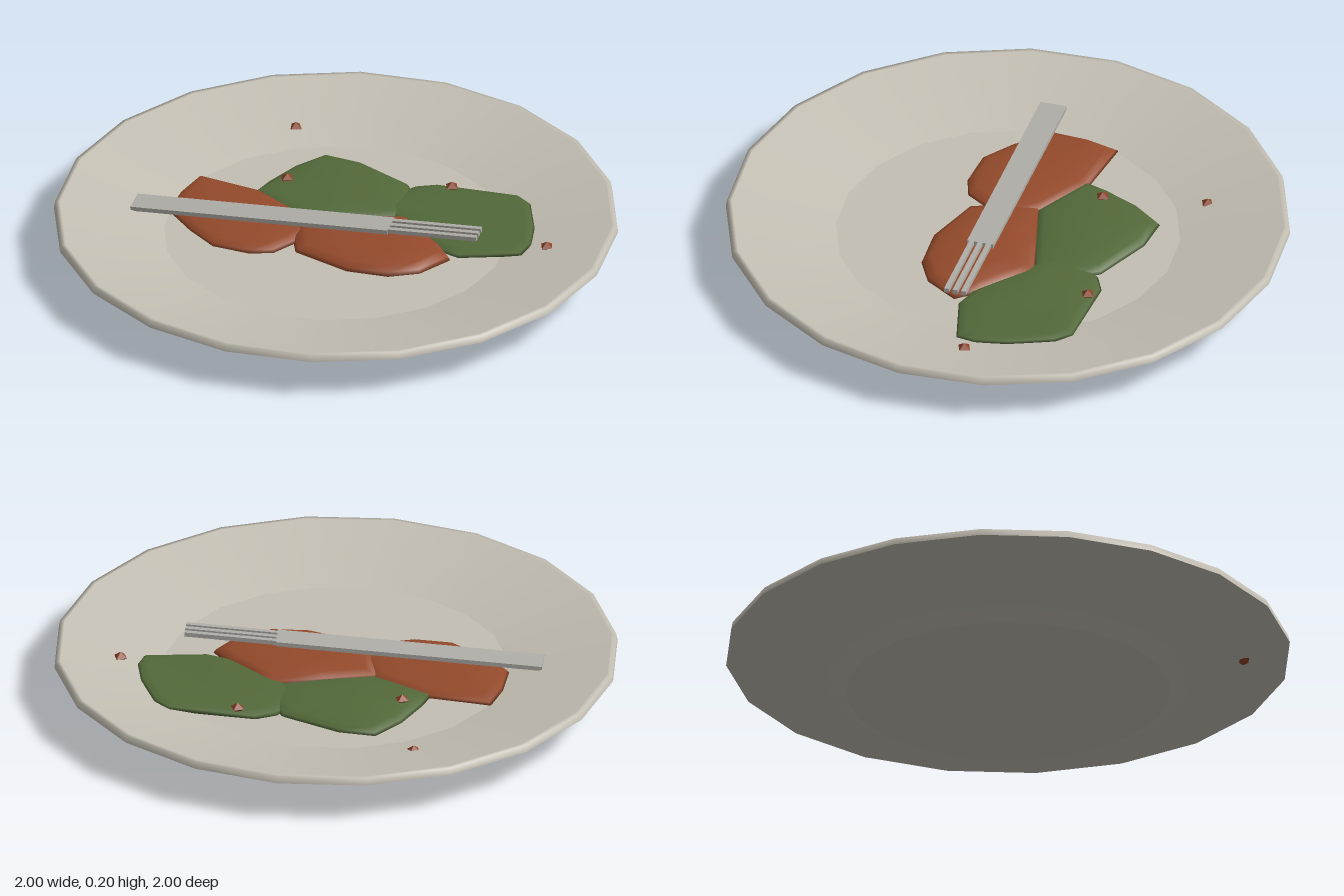
import * as THREE from 'three';

const mat = (name, color) => {
  const m = new THREE.MeshStandardMaterial({ color });
  m.name = name;
  return m;
};

export function createModel() {
  const root = new THREE.Group();
  const ceramic = mat('ceramic', 0xc4bfb3);
  const metal = mat('metal', 0xb0aea8);
  const green = mat('leaf green', 0x53693a);
  const rust = mat('sauce rust', 0x944a2b);
  const crumbMat = mat('crumb brown', 0x8c4226);

  const add = (parent, name, geo, material) => {
    const mesh = new THREE.Mesh(geo, material);
    mesh.name = name;
    parent.add(mesh);
    return mesh;
  };

  // Plate: separate lathed bands keep a crisp edge between them
  const plate = new THREE.Group();
  plate.name = 'plate';
  root.add(plate);
  const band = (name, pts) => add(plate, name,
    new THREE.LatheGeometry(pts.map(p => new THREE.Vector2(...p)), 20), ceramic);
  band('plateBase', [[0, 0], [0.575, 0]]);
  band('plateUnderside', [[0.575, 0], [0.615, 0.02], [0.66, 0.05], [1, 0.145]]);
  band('plateRim', [[1, 0.145], [0.995, 0.17], [0.98, 0.17]]);
  band('plateWall', [[0.98, 0.17], [0.61, 0.09]]);
  band('plateFloor', [[0.61, 0.09], [0, 0.085]]);

  // Height of the plate's upper surface at a point
  const plateY = (x, z) => 0.088 + Math.max(0, Math.hypot(x, z) - 0.61) * 0.216;

  // Food leftover: low dome over an outline of [x, z] points
  function dollop(outline, height) {
    let area = 0, cx = 0, cz = 0;
    const n = outline.length;
    outline.forEach(([x, z], i) => {
      const [x2, z2] = outline[(i + 1) % n];
      area += x * z2 - x2 * z;
      cx += x / n;
      cz += z / n;
    });
    const pts = area > 0 ? outline.slice().reverse() : outline;
    const rings = [[0, -0.01], [0.92, -0.01], [1, 0.003], [0.97, height * 0.4],
      [0.85, height * 0.75], [0.5, height * 0.95], [0, height]];
    const pos = [], index = [];
    for (const [s, y] of rings)
      for (const [px, pz] of pts) {
        const x = cx + (px - cx) * s, z = cz + (pz - cz) * s;
        pos.push(x, plateY(x, z) + y, z);
      }
    for (let r = 0; r < rings.length - 1; r++)
      for (let i = 0; i < n; i++) {
        const a = r * n + i, b = r * n + (i + 1) % n;
        if (r > 0) index.push(a, b, b + n);
        if (r < rings.length - 2) index.push(a, b + n, a + n);
        else index.push();
      }
    const geo = new THREE.BufferGeometry();
    geo.setAttribute('position', new THREE.Float32BufferAttribute(pos, 3));
    geo.setIndex(index);
    geo.computeVertexNormals();
    return geo;
  }

  add(root, 'greenLeft', dollop([[-0.41, -0.1], [-0.41, -0.25], [-0.38, -0.38], [-0.25, -0.42],
    [-0.02, -0.415], [0.06, -0.36], [0.12, -0.23], [-0.03, -0.1], [-0.16, 0.0], [-0.4, -0.02]], 0.032), green);
  add(root, 'greenRight', dollop([[0, -0.42], [0.05, -0.48], [0.34, -0.595], [0.41, -0.575], [0.53, -0.46],
    [0.6, -0.36], [0.615, -0.29], [0.44, -0.15], [0.34, -0.14], [0.14, -0.2], [-0.04, -0.22]], 0.03), green);
  add(root, 'sauceLeft', dollop([[-0.62, 0.02], [-0.39, -0.04], [-0.16, -0.01], [-0.06, 0.08], [-0.06, 0.15],
    [-0.075, 0.25], [-0.14, 0.31], [-0.27, 0.355], [-0.4, 0.325], [-0.55, 0.27], [-0.6, 0.14]], 0.033), rust);
  add(root, 'sauceRight', dollop([[-0.17, 0.0], [-0.02, -0.12], [0.13, -0.235], [0.24, -0.195], [0.34, -0.165],
    [0.43, -0.12], [0.41, 0.02], [0.34, 0.11], [0.2, 0.178], [-0.02, 0.195], [-0.09, 0.13]], 0.042), rust);

  // Crumbs
  for (const [x, y, z] of [[-0.57, 0.112, -0.44], [0.125, 0.117, -0.48], [0.665, 0.128, -0.37],
    [-0.35, 0.12, -0.14], [0.52, 0.1, 0.65]]) {
    const crumb = add(root, 'crumb', new THREE.OctahedronGeometry(0.027), crumbMat);
    crumb.scale.y = 0.7;
    crumb.position.set(x, y, z);
  }

  // Fork: long flat handle with three tines, leaning across the food
  const fork = new THREE.Group();
  fork.name = 'fork';
  fork.position.set(-0.07, 0.159, 0.078);
  fork.rotation.set(0, 0.434, 0.059);
  root.add(fork);
  add(fork, 'forkHandle', new THREE.BoxGeometry(0.945, 0.016, 0.096), metal).position.x = -0.1625;
  for (const side of [-1, 0, 1]) {
    const tine = add(fork, 'forkTine', new THREE.BoxGeometry(0.335, 0.016, 0.018), metal);
    tine.position.set(0.4675, 0, side * 0.031);
  }
  return root;
}
